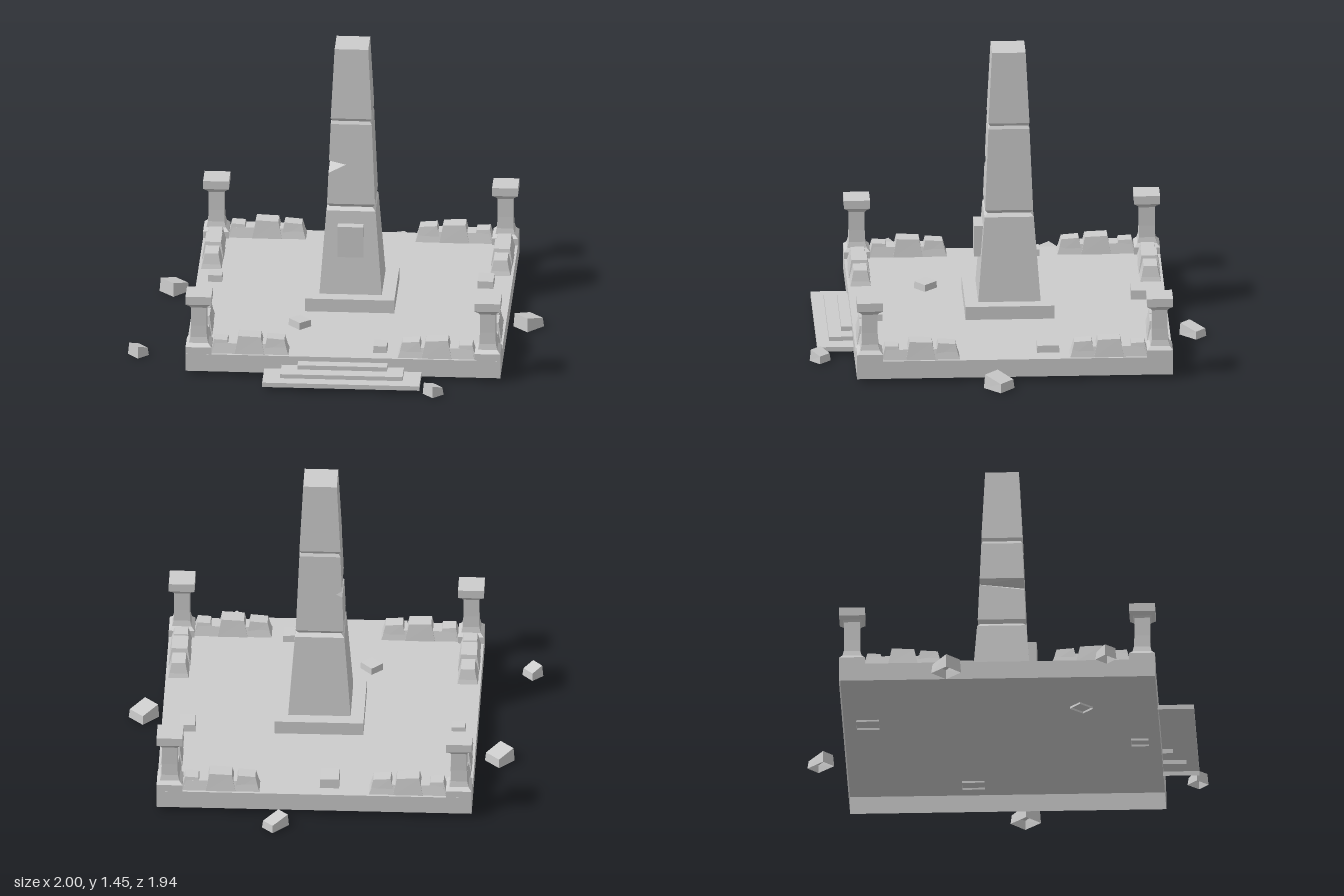
import * as THREE from 'three';

const CX = 0.062, CZ = -0.017; // centre of the platform and obelisk
const stone = new THREE.MeshStandardMaterial({ color: 0xcccccc, flatShading: true, side: THREE.DoubleSide });

function add(parent, name, geometry, x = 0, y = 0, z = 0) {
  const mesh = new THREE.Mesh(geometry, stone);
  mesh.name = name;
  mesh.position.set(x, y, z);
  parent.add(mesh);
  return mesh;
}

// Removes the level faces at the given heights, leaving the shell open there
function openAt(geometry, ...heights) {
  const p = (geometry.index ? geometry.toNonIndexed() : geometry).attributes.position;
  const kept = [];
  for (let i = 0; i < p.count; i += 3) {
    const level = heights.some((y) => [0, 1, 2].every((k) => Math.abs(p.getY(i + k) - y) < 1e-4));
    if (!level) kept.push(...p.array.slice(i * 3, i * 3 + 9));
  }
  const g = new THREE.BufferGeometry();
  g.setAttribute('position', new THREE.Float32BufferAttribute(kept, 3));
  g.computeVertexNormals();
  return g;
}

// Bottomless box with its top inset by dx and dz, and the top's +x side lowered to h * slope
function taperedBox(w, h, d, dx = 0, dz = 0, slope = 1) {
  const g = new THREE.BoxGeometry(w, h, d).translate(0, h / 2, 0);
  const p = g.attributes.position;
  for (let i = 0; i < p.count; i++) {
    if (p.getY(i) < h / 2) continue;
    const x = p.getX(i), z = p.getZ(i);
    p.setXYZ(i, x - Math.sign(x) * dx, x > 0 ? h * slope : h, z - Math.sign(z) * dz);
  }
  return openAt(g, 0);
}

// Square column from [half width, height] pairs, open unless the profile closes at 0
function squareColumn(profile) {
  const pts = profile.map(([r, y]) => new THREE.Vector2(r * Math.SQRT2, y));
  const g = new THREE.LatheGeometry(pts, 4, Math.PI / 4).toNonIndexed();
  g.computeVertexNormals();
  return g;
}

// Three hollow steps: a sheet folded over U-shaped outlines
function stepShell() {
  const wall = 0.75;
  // [half width, front z, height], from the top down
  const rows = [[0.218, wall, 0.086], [0.218, 0.805, 0.086], [0.218, 0.805, 0.064],
    [0.298, 0.868, 0.064], [0.298, 0.868, 0.043], [0.383, 0.928, 0.043], [0.383, 0.928, 0.02]];
  const g = new THREE.PlaneGeometry(1, 1, 3, rows.length - 1);
  const p = g.attributes.position;
  rows.forEach(([w, z, y], r) => {
    for (let c = 0; c < 4; c++) {
      p.setXYZ(r * 4 + c, c < 2 ? -w : w, y, c % 3 === 0 ? wall : z);
    }
  });
  const flat = g.toNonIndexed();
  flat.computeVertexNormals();
  return flat;
}

// Middle obelisk block with a wedge-shaped crack, deepest at the front
function crackedBlock() {
  const y0 = 0.64, y1 = 1.055;
  const half = (y) => THREE.MathUtils.mapLinear(y, y0, y1, 0.117, 0.1);
  const shape = new THREE.Shape([
    [-half(y0), y0], [half(y0), y0], [half(y1), y1], [-half(y1), y1],
    [-half(0.865), 0.865], [-0.025, 0.845], [-half(0.8), 0.8],
  ].map(([x, y]) => new THREE.Vector2(x, y)));
  const g = new THREE.ExtrudeGeometry(shape, { depth: 1, bevelEnabled: false });
  const p = g.attributes.position;
  for (let i = 0; i < p.count; i++) {
    const back = p.getZ(i) < 0.5;
    if (back && Math.abs(p.getY(i) - 0.845) < 1e-4) p.setX(i, -0.08);
    if (back && Math.abs(p.getY(i) - 0.8) < 1e-4) p.setXYZ(i, -half(0.83), 0.83, 0);
    p.setZ(i, (back ? -1 : 1) * half(p.getY(i)));
  }
  return openAt(g, y0, y1);
}

// Ruined parapet running along +x away from a post
function brokenWall() {
  const wall = new THREE.Group();
  wall.name = 'brokenWall';
  add(wall, 'wallFooting', taperedBox(0.375, 0.05, 0.1, 0.018, 0.013), 0.25, 0.11, 0);
  // [offset, width, height, depth, slope]
  [[0.107, 0.1, 0.068, 0.095, 0.95], [0.248, 0.145, 0.09, 0.106, 0.95], [0.375, 0.12, 0.08, 0.095, 0.92]]
    .forEach(([x, w, h, d, slope]) =>
      add(wall, 'wallBlock', taperedBox(w, h, d, 0.018, 0.014, slope), x, 0.11, 0));
  return wall;
}

export function createModel() {
  const model = new THREE.Group();
  model.name = 'ruinedMonument';

  // Hollow platform and front steps
  add(model, 'platform', taperedBox(1.534, 0.09, 1.539), CX, 0.02, CZ);
  add(model, 'steps', stepShell(), CX);

  // Obelisk
  const obelisk = new THREE.Group();
  obelisk.name = 'obelisk';
  obelisk.position.set(CX, 0, CZ);
  model.add(obelisk);
  add(obelisk, 'plinth', taperedBox(0.434, 0.067, 0.434), 0, 0.11, 0);
  add(obelisk, 'lowerShaft',
    squareColumn([[0.152, 0.177], [0.12, 0.605], [0.104, 0.622], [0.117, 0.64]]));
  add(obelisk, 'crackedShaft', crackedBlock());
  add(obelisk, 'upperShaft',
    squareColumn([[0.1, 1.055], [0.092, 1.07], [0.1, 1.085], [0.082, 1.445], [0, 1.445]]));
  add(obelisk, 'plaque', taperedBox(0.126, 0.06, 0.16), 0, 0.46, 0.108).rotation.x = Math.PI / 2;

  // Corner posts, each with two broken walls
  const postGeometry = squareColumn([
    [0.063, 0.11], [0.063, 0.145], [0.047, 0.162], [0.04, 0.19], [0.038, 0.25],
    [0.038, 0.345], [0.045, 0.355], [0.063, 0.37], [0.063, 0.412], [0, 0.412],
  ]);
  for (const sx of [-1, 1]) {
    for (const sz of [-1, 1]) {
      const corner = new THREE.Group();
      corner.name = 'corner';
      corner.position.set(CX + sx * 0.704, 0, CZ + sz * 0.706);
      add(corner, 'post', postGeometry);
      const alongX = brokenWall();
      alongX.rotation.y = sx < 0 ? 0 : Math.PI;
      const alongZ = brokenWall();
      alongZ.rotation.y = sz > 0 ? Math.PI / 2 : -Math.PI / 2;
      corner.add(alongX, alongZ);
      model.add(corner);
    }
  }

  // Loose stones sunk into the platform: x, z, width, depth, top, turn
  [
    [-0.01, -0.67, 0.095, 0.11, 0.16, 0], [0.703, -0.182, 0.08, 0.11, 0.148, 0],
    [-0.615, -0.165, 0.07, 0.07, 0.145, 0], [-0.17, 0.375, 0.075, 0.085, 0.146, 0.75],
    [0.239, 0.645, 0.068, 0.085, 0.146, 0],
  ].forEach(([x, z, w, d, top, turn]) => {
    add(model, 'platformStone', taperedBox(w, top - 0.1, d, 0.002, 0.002, 0.95), x, 0.1, z)
      .rotation.y = turn;
  });

  // Fallen stones on the ground: x, z, width, depth, height, turn
  [
    [0.245, -0.908, 0.11, 0.075, 0.06, 0.8], [-0.82, -0.26, 0.105, 0.1, 0.07, 0.8],
    [0.926, 0.065, 0.11, 0.1, 0.07, 0.8], [-0.948, 0.522, 0.07, 0.075, 0.06, 0.75],
    [0.512, 0.918, 0.07, 0.075, 0.058, 0.75],
  ].forEach(([x, z, w, d, h, turn]) => {
    add(model, 'fallenStone', taperedBox(w, h, d, 0.004, 0.004, 0.65), x, 0, z).rotation.y = turn;
  });

  return model;
}
